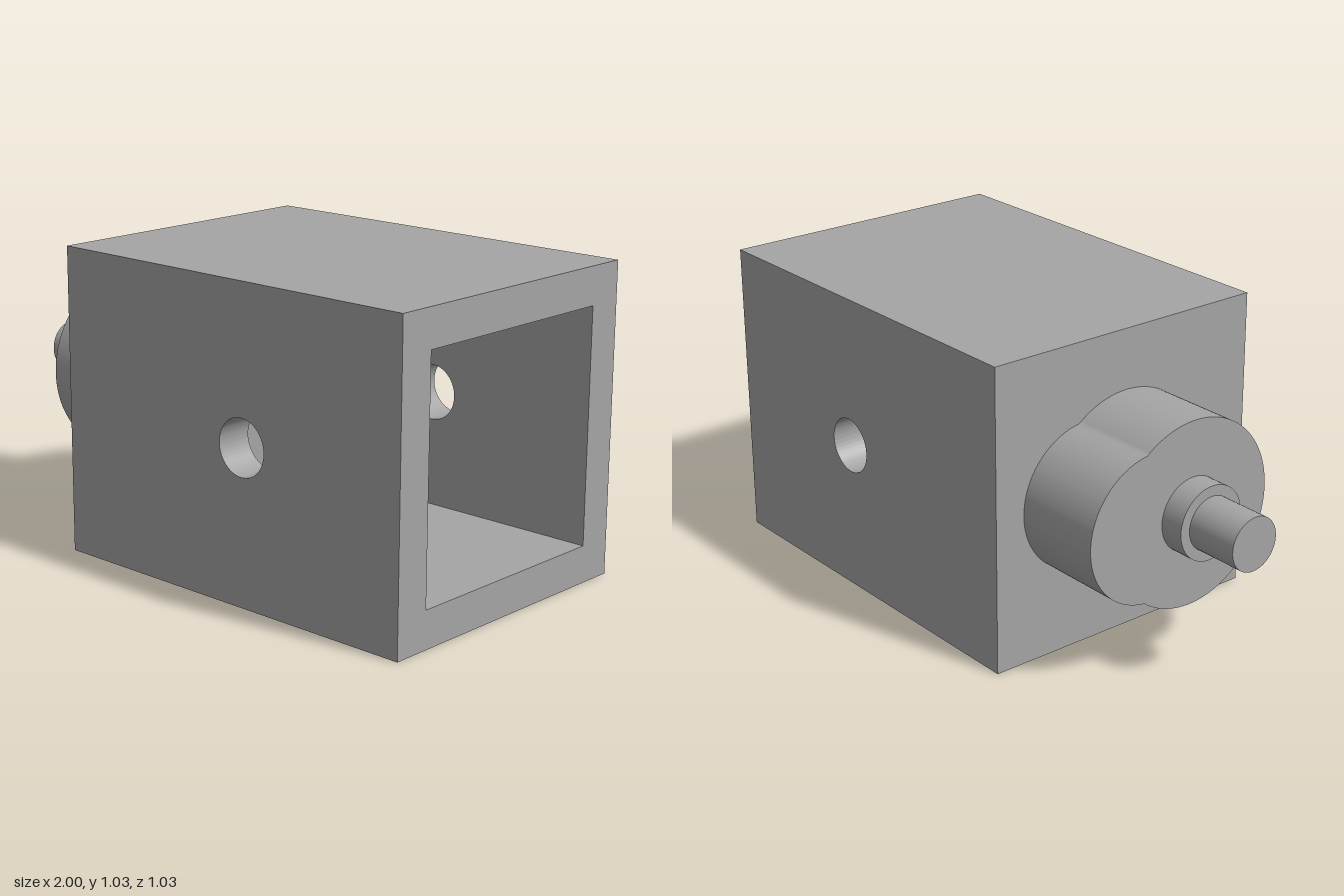
import * as THREE from 'three';
import { toCreasedNormals } from 'three/addons/utils/BufferGeometryUtils.js';

const MAT = new THREE.MeshStandardMaterial({ color: 0xa5a5a5 });
const X0 = -0.413, X1 = 1;           // housing ends along x
const SIZE = 1.035, MID = SIZE / 2;  // square housing section
const WALL = 0.126;
const HOLE_X = 0.37, HOLE_R = 0.094;
const FLANGE_END = -0.728, COLLAR_END = -0.813, SHAFT_END = -1;

function add(group, name, geometry, x, y, z) {
  const mesh = new THREE.Mesh(geometry, MAT);
  mesh.name = name;
  mesh.position.set(x, y, z);
  group.add(mesh);
  return mesh;
}

function extrude(shape, depth) {
  const g = new THREE.ExtrudeGeometry(shape, { depth, bevelEnabled: false, curveSegments: 48 });
  return toCreasedNormals(g, 0.5);
}

// Side wall with a round cross hole
function sideWall() {
  const s = new THREE.Shape();
  s.moveTo(X0, 0).lineTo(X1, 0).lineTo(X1, SIZE).lineTo(X0, SIZE).closePath();
  s.holes.push(new THREE.Path().absarc(HOLE_X, MID, HOLE_R, 0, Math.PI * 2, true));
  return extrude(s, WALL);
}

// Outline of a large disc merged with a smaller offset disc
function flangeShape() {
  const R = 0.313, r = 0.25, c = -0.16;
  const nx = (R * R - r * r + c * c) / (2 * c);
  const ny = Math.sqrt(R * R - nx * nx);
  const a = Math.atan2(ny, nx), b = Math.atan2(ny, nx - c);
  const s = new THREE.Shape();
  s.absarc(0, 0, R, -a, a, false);
  s.absarc(c, 0, r, b, Math.PI * 2 - b, false);
  return s;
}

export function createModel() {
  const model = new THREE.Group();
  const len = X1 - X0, cx = (X0 + X1) / 2, inner = SIZE - 2 * WALL;

  // Square housing, open at +x and closed at -x
  const housing = new THREE.Group();
  housing.name = 'housing';
  model.add(housing);
  add(housing, 'frontWall', sideWall(), 0, 0, MID - WALL);
  add(housing, 'backWall', sideWall(), 0, 0, -MID);
  for (const [name, y] of [['floor', WALL / 2], ['roof', SIZE - WALL / 2]])
    add(housing, name, new THREE.BoxGeometry(len, WALL, inner), cx, y, 0);
  add(housing, 'endWall', new THREE.BoxGeometry(WALL, inner, inner), X0 + WALL / 2, MID, 0);

  // Two-lobed flange on the closed end
  add(model, 'flange', extrude(flangeShape(), X0 - FLANGE_END), X0, MID, 0).rotation.y = -Math.PI / 2;

  // Stepped shaft
  for (const [name, r, from, to] of [['shaftCollar', 0.125, FLANGE_END, COLLAR_END], ['shaft', 0.09, COLLAR_END, SHAFT_END]]) {
    const g = new THREE.CylinderGeometry(r, r, from - to, 64);
    add(model, name, g, (from + to) / 2, MID, 0).rotation.z = Math.PI / 2;
  }
  return model;
}
